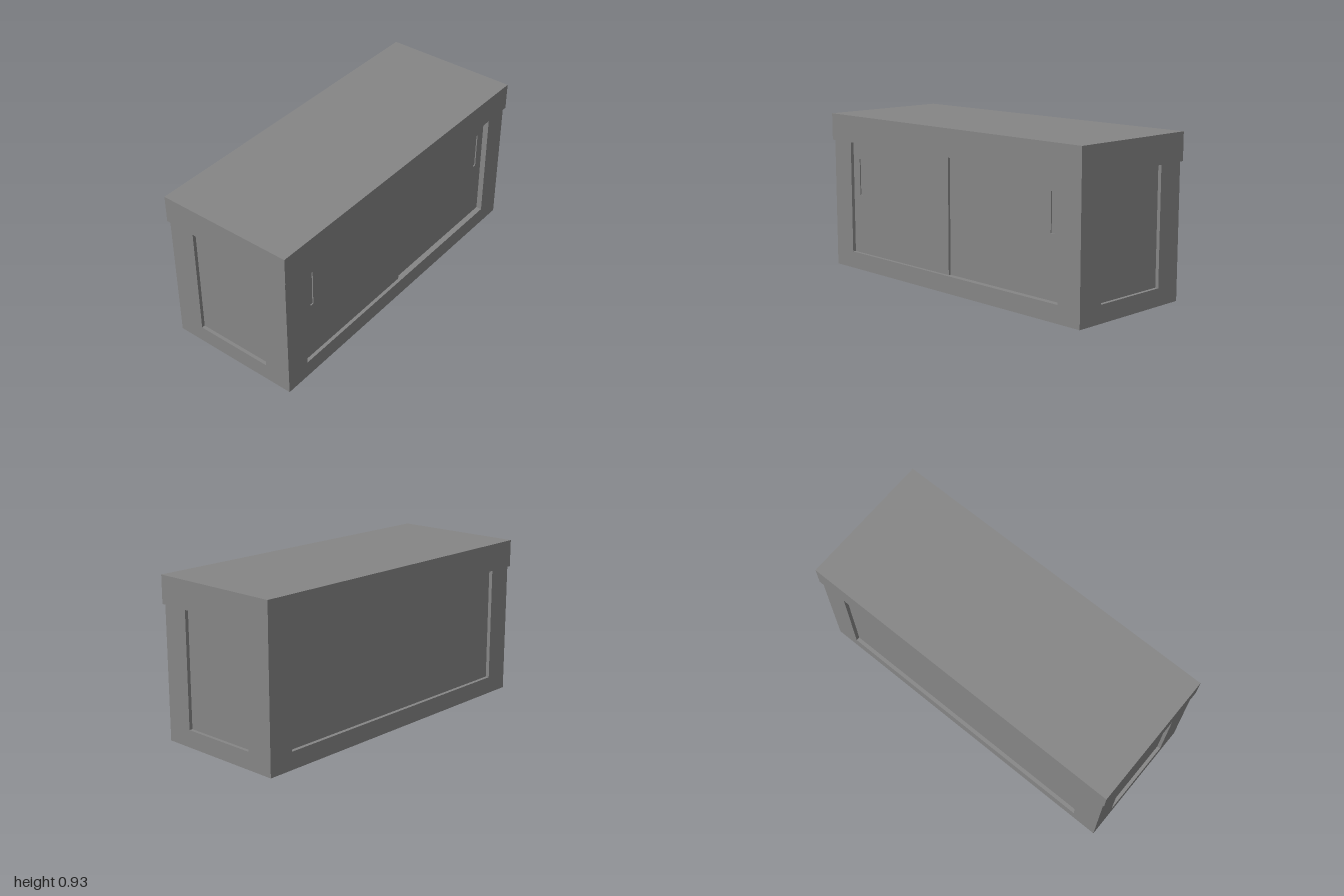
import * as THREE from 'three';

const material = new THREE.MeshStandardMaterial({ color: 0x868686 });

// Main levels and half-sizes
const SILL = 0.1, RIM = 0.766, TOP = 0.925;
const BODY_X = 0.392, BODY_Z = 0.99, OPEN_X = 0.232, OPEN_Z = 0.838;

function add(parent, name, geometry) {
  const mesh = new THREE.Mesh(geometry, material);
  mesh.name = name;
  parent.add(mesh);
  return mesh;
}

// Box given by its minimum and maximum corners
function block(parent, name, [x0, y0, z0], [x1, y1, z1]) {
  const mesh = add(parent, name, new THREE.BoxGeometry(x1 - x0, y1 - y0, z1 - z0));
  mesh.position.set((x0 + x1) / 2, (y0 + y1) / 2, (z0 + z1) / 2);
}

function outline(points) {
  return new THREE.Shape(points.map(([x, y]) => new THREE.Vector2(x, y)));
}

const rect = (x0, y0, x1, y1) => [[x0, y0], [x1, y0], [x1, y1], [x0, y1]];

const extrude = (shape, depth) => new THREE.ExtrudeGeometry(shape, { depth, bevelEnabled: false });

// Sliding door on the +x side with a recessed finger pull; side is +1 or -1 along z
function slidingDoor(parent, side, faceX) {
  const door = new THREE.Group();
  door.name = side > 0 ? 'frontSlidingDoor' : 'rearSlidingDoor';
  const pullDepth = 0.007;
  const z0 = Math.min(0, side * OPEN_Z), z1 = Math.max(0, side * OPEN_Z);

  const shape = outline(rect(-z1, SILL, -z0, RIM));
  const pullZ = side * 0.769;
  shape.holes.push(outline(rect(-pullZ - 0.0125, 0.452, -pullZ + 0.0125, 0.669)));
  const panel = add(door, 'doorPanel', extrude(shape, pullDepth));
  panel.rotation.y = Math.PI / 2;
  panel.position.x = faceX - pullDepth;

  block(door, 'doorBacking', [0.33, SILL, z0], [faceX - pullDepth, RIM, z1]);
  parent.add(door);
}

export function createModel() {
  const model = new THREE.Group();
  model.name = 'counter';

  // Thick top slab
  block(model, 'countertop', [-0.403, RIM, -1], [0.403, TOP, 1]);

  // U-shaped end frames: two corner posts joined by a sill
  const uShape = outline([
    [-BODY_X, 0], [BODY_X, 0], [BODY_X, RIM], [OPEN_X, RIM],
    [OPEN_X, SILL], [-OPEN_X, SILL], [-OPEN_X, RIM], [-BODY_X, RIM],
  ]);
  for (const side of [1, -1]) {
    const frame = add(model, side > 0 ? 'frontFrame' : 'backFrame', extrude(uShape, BODY_Z - OPEN_Z));
    frame.position.z = side > 0 ? OPEN_Z : -BODY_Z;
  }

  // Base between the end frames, forming the long sills
  block(model, 'base', [-BODY_X, 0, -OPEN_Z], [BODY_X, SILL, OPEN_Z]);

  // Recessed panels: one at each end and one along the -x side
  block(model, 'frontPanel', [-OPEN_X, SILL, OPEN_Z], [OPEN_X, RIM, 0.97]);
  block(model, 'backPanel', [-OPEN_X, SILL, -0.97], [OPEN_X, RIM, -OPEN_Z]);
  block(model, 'sidePanel', [-0.37, SILL, -OPEN_Z], [-0.34, RIM, OPEN_Z]);

  // Pair of sliding doors, the rear one running behind the front one
  slidingDoor(model, 1, 0.372);
  slidingDoor(model, -1, 0.358);

  return model;
}
